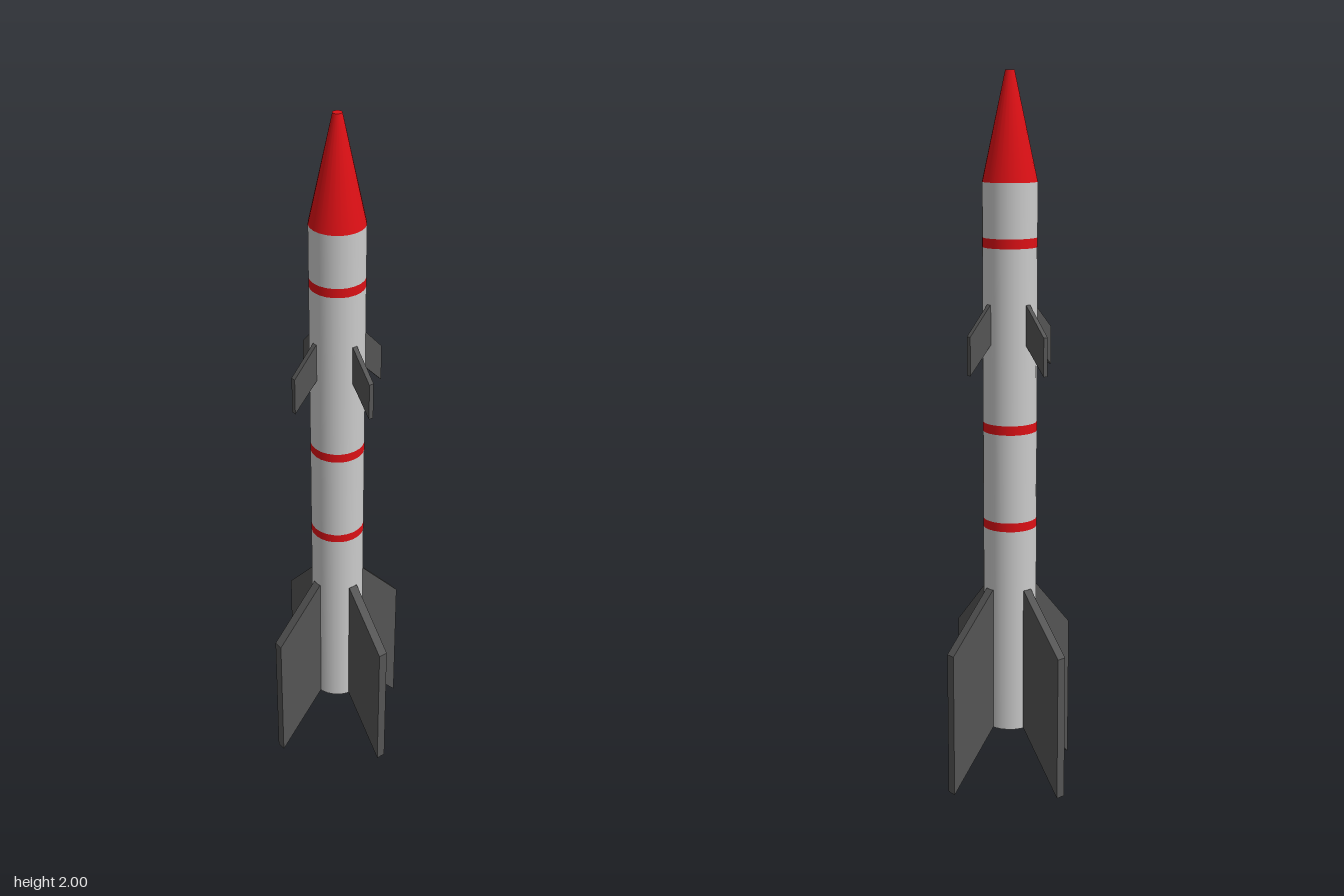
import * as THREE from 'three';

const R = 0.075, SIDES = 24;
const BASE = 0.165, SHOULDER = 1.71, TIP = 2;

const grey = new THREE.MeshStandardMaterial({ color: 0xcccccc });
const red = new THREE.MeshStandardMaterial({ color: 0xdd1015 });
const dark = new THREE.MeshStandardMaterial({ color: 0x555555 });
const black = new THREE.MeshStandardMaterial({ color: 0x333333 });

export function createModel() {
  const group = new THREE.Group();

  const add = (name, geometry, material) => {
    const mesh = new THREE.Mesh(geometry, material);
    mesh.name = name;
    group.add(mesh);
    return mesh;
  };

  // Round section between two heights
  const section = (name, y0, y1, material, topRadius = R, open = true) => {
    const geometry = new THREE.CylinderGeometry(topRadius, R, y1 - y0, SIDES, 1, open);
    add(name, geometry, material).position.y = (y0 + y1) / 2;
  };

  // Body tube split by flush red bands
  const bands = [[0.755, 0.78], [1.03, 1.056], [1.537, 1.563]];
  let y = BASE;
  for (const [low, high] of bands) {
    section('bodyTube', y, low, grey);
    section('band', low, high, red);
    y = high;
  }
  section('bodyTube', y, SHOULDER, grey);

  // Blunt nose cone
  section('noseCone', SHOULDER, TIP, red, 0.0125, false);

  // Dark disc closing the tail
  const tail = add('tailDisc', new THREE.CircleGeometry(R, SIDES), black);
  tail.rotation.set(Math.PI / 2, 0, Math.PI / 2);
  tail.position.y = BASE;

  // Four swept fins around the body, from a side outline
  const finSet = (name, outline, thickness) => {
    const shape = new THREE.Shape(outline.map(([px, py]) => new THREE.Vector2(px, py)));
    const geometry = new THREE.ExtrudeGeometry(shape, { depth: thickness, bevelEnabled: false });
    geometry.translate(0, 0, -thickness / 2);
    for (let i = 0; i < 4; i++) add(name, geometry, dark).rotation.y = i * Math.PI / 2;
  };
  finSet('tailFin', [[0.07, 0.17], [0.075, 0.165], [0.219, 0], [0.219, 0.417], [0.075, 0.58], [0.07, 0.58]], 0.027);
  finSet('forwardFin', [[0.07, 1.281], [0.146, 1.2], [0.146, 1.306], [0.075, 1.386], [0.07, 1.386]], 0.014);

  return group;
}
